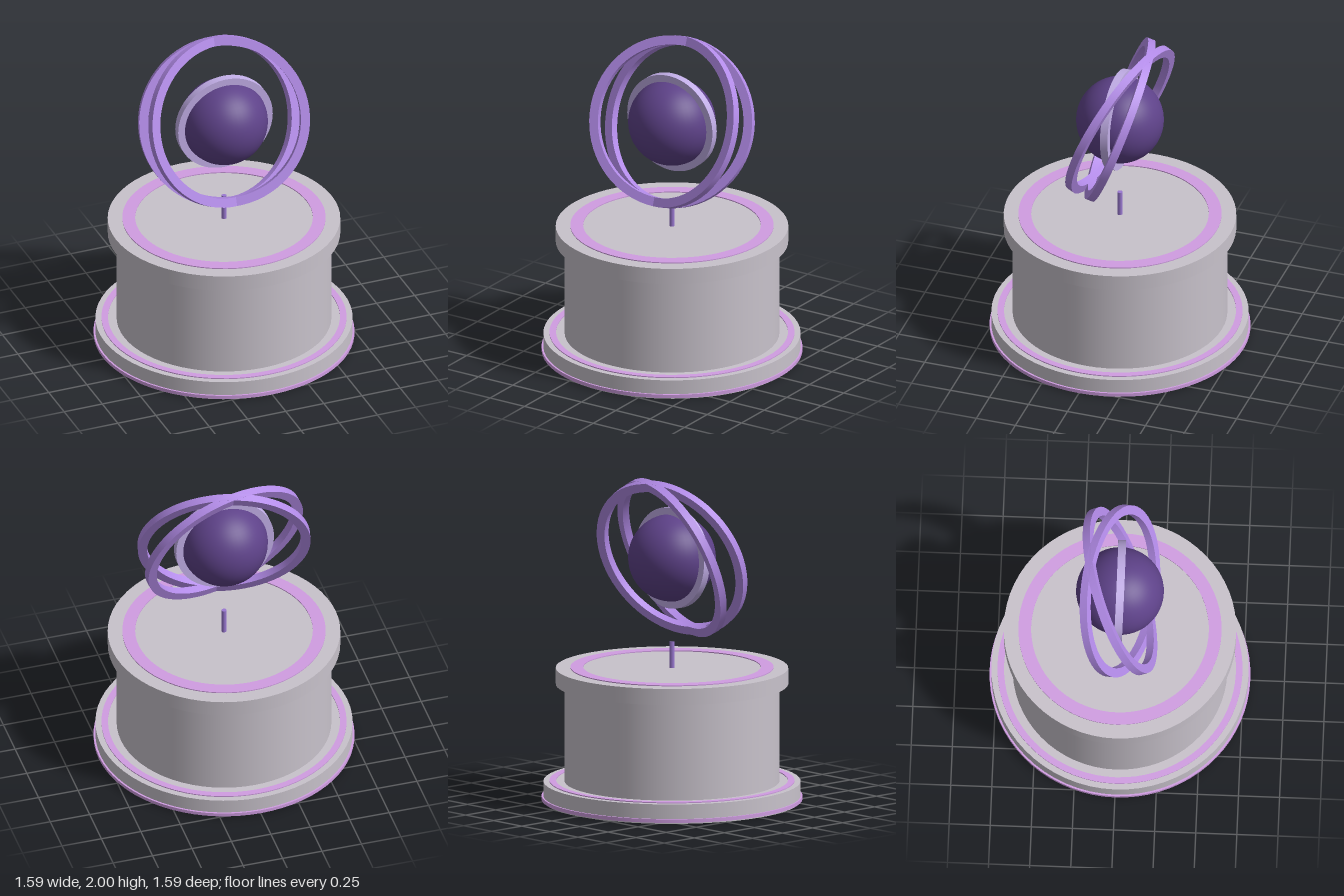
import * as THREE from 'three';
import { toCreasedNormals } from 'three/addons/utils/BufferGeometryUtils.js';

const material = (name, color) => {
  const m = new THREE.MeshStandardMaterial({ color });
  m.name = name;
  return m;
};

export function createModel() {
  const model = new THREE.Group();
  model.name = 'orbPedestal';

  const stone = material('stone grey', 0xc8c2cb);
  const pink = material('orchid trim', 0xd09de2);
  const violet = material('violet ring', 0xb48cea);
  const lilac = material('pale lilac', 0xc4b0ea);
  const deep = material('deep purple', 0x5e4289);
  const rodPurple = material('rod purple', 0x9a78d2);

  const add = (name, geometry, mat, y = 0, parent = model) => {
    const mesh = new THREE.Mesh(geometry, mat);
    mesh.name = name;
    mesh.position.y = y;
    parent.add(mesh);
    return mesh;
  };

  // Solid disc standing on y0
  const disc = (name, radius, y0, y1, mat) =>
    add(name, new THREE.CylinderGeometry(radius, radius, y1 - y0, 64), mat, (y0 + y1) / 2);

  // Rectangular-section ring around the y axis
  const band = (inner, outer, width) => {
    const h = width / 2;
    const profile = [[inner, -h], [outer, -h], [outer, h], [inner, h], [inner, -h]]
      .map(([x, y]) => new THREE.Vector2(x, y));
    return toCreasedNormals(new THREE.LatheGeometry(profile, 72), 0.6);
  };

  // Pedestal
  disc('base', 0.782, 0, 0.12, stone);
  add('footTrim', band(0.775, 0.793, 0.022), pink, 0.019);
  add('baseInlay', band(0.705, 0.745, 0.012), pink, 0.12);
  disc('drum', 0.653, 0.12, 0.72, stone);
  disc('topSlab', 0.707, 0.72, 0.82, stone);
  add('topInlay', band(0.54, 0.618, 0.012), pink, 0.82);

  // Short rod rising from the pedestal
  add('rod', new THREE.CylinderGeometry(0.016, 0.016, 0.16, 8), rodPurple, 0.9);

  // Floating orb with its equator band
  const orb = new THREE.Group();
  orb.name = 'floatingOrb';
  orb.position.y = 1.5;
  model.add(orb);
  add('sphere', new THREE.SphereGeometry(0.267, 48, 32), deep, 0, orb);
  const collar = add('orbBand', band(0.262, 0.31, 0.048).rotateX(Math.PI / 2), lilac, 0, orb);
  collar.rotation.x = 0.02;

  // Two crossed orbit rings sharing one tilted axis
  const rings = new THREE.Group();
  rings.name = 'orbitRings';
  rings.rotation.x = -0.37;
  orb.add(rings);
  const ringShape = band(0.47, 0.526, 0.048).rotateX(Math.PI / 2);
  for (const side of [-1, 1]) {
    const ring = add(side < 0 ? 'orbitRingRight' : 'orbitRingLeft', ringShape, violet, 0, rings);
    ring.rotation.y = side * 0.2;
  }
  return model;
}
